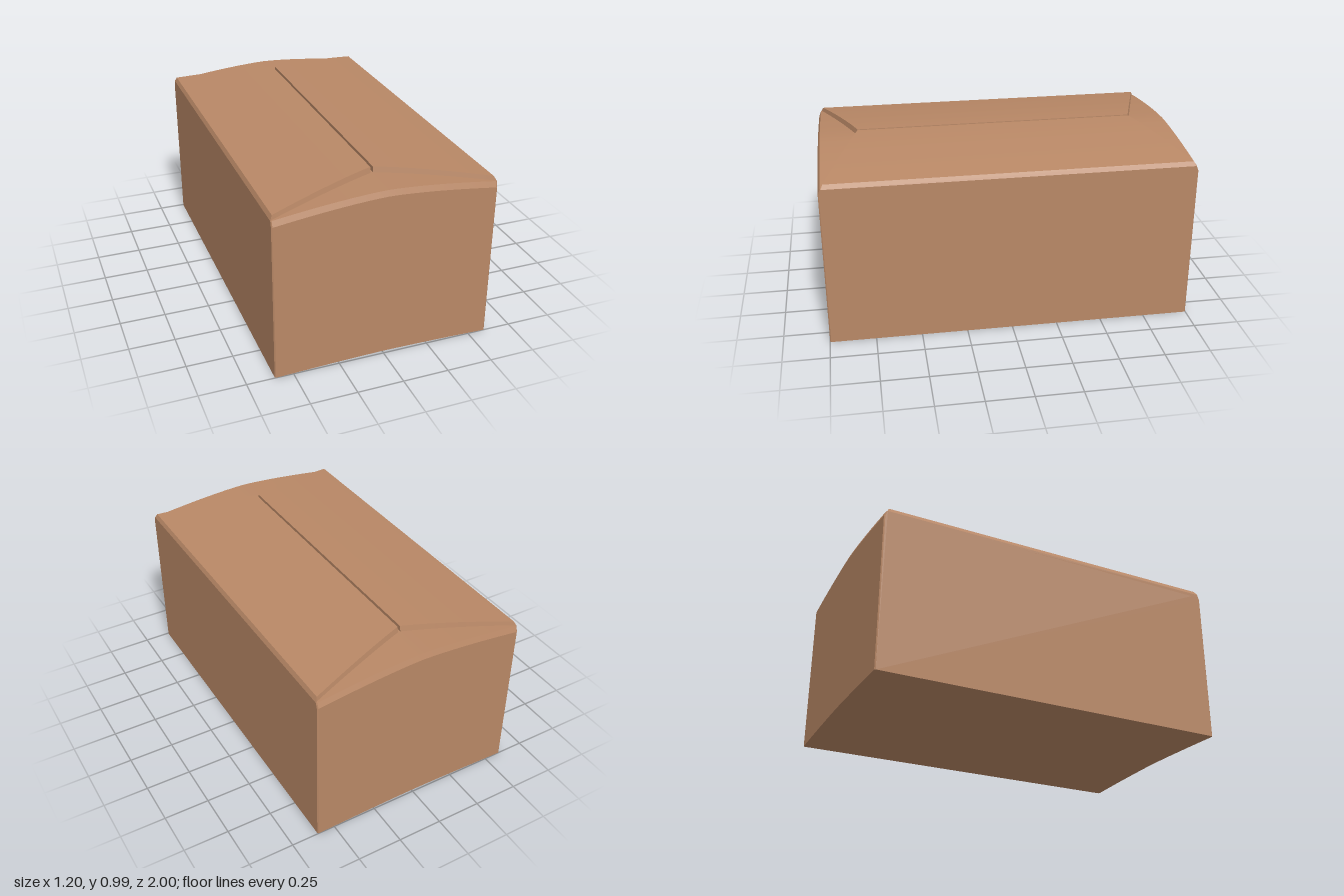
import * as THREE from 'three';
import { toCreasedNormals } from 'three/addons/utils/BufferGeometryUtils.js';

// Sweep convex rings of [z, y] points along x and close both ends
function loft(xs, ringAt) {
  const pos = [], idx = [];
  const n = ringAt(xs[0]).length;
  for (const x of xs) for (const [z, y] of ringAt(x)) pos.push(x, y, z);
  for (let i = 0; i < xs.length - 1; i++) {
    for (let j = 0; j < n; j++) {
      const a = i * n + j, b = i * n + (j + 1) % n;
      idx.push(a, a + n, b, b, a + n, b + n);
    }
  }
  const last = (xs.length - 1) * n;
  for (let j = 1; j < n - 1; j++) {
    idx.push(0, j, j + 1, last, last + j + 1, last + j);
  }
  const g = new THREE.BufferGeometry();
  g.setAttribute('position', new THREE.Float32BufferAttribute(pos, 3));
  g.setIndex(idx);
  return toCreasedNormals(g, 0.3);
}

// Gentle bulge: 1 on the centre line, 0 at the side walls
const bulge = x => 1 - Math.pow(Math.min(1, Math.abs(x) / 0.6), 1.5);
const range = (a, b, n) => Array.from({ length: n + 1 }, (_, i) => a + (b - a) * i / n);

export function createModel() {
  const box = new THREE.Group();
  box.name = 'cardboardBox';
  const cardboard = new THREE.MeshStandardMaterial({ color: 0xb98866 });
  cardboard.name = 'cardboard';

  const add = (name, geometry) => {
    const mesh = new THREE.Mesh(geometry, cardboard);
    mesh.name = name;
    box.add(mesh);
  };

  // Walls, arched base and the folded end flaps with creased edges
  const bodyRing = x => {
    const h = bulge(x), base = 0.015 * h, top = 0.9 + 0.057 * h;
    const z = Math.abs(x) > 0.597 ? 0.994 : 1;
    return [[-z, base], [z, base], [z, top - 0.03],
      [z - 0.012, top], [0.012 - z, top], [-z, top - 0.03]];
  };
  add('boxBody', loft([-0.6, ...range(-0.594, 0.594, 20), 0.6], bodyRing));

  // Two long side flaps with mitred ends, folded down at the outer crease
  const flapRing = x => {
    const ax = Math.abs(x);
    if (ax > 0.595) return [[-0.99, 0.88], [0.99, 0.88], [0.985, 0.9], [-0.985, 0.9]];
    const top = 0.922 + 0.065 * bulge(x);
    const z = 0.785 + 0.195 * (ax - 0.007) / 0.581;
    return [[-z, top - 0.032], [z, top - 0.032], [z - 0.007, top], [0.007 - z, top]];
  };
  add('leftTopFlap', loft([...range(0.007, 0.588, 10), 0.6], flapRing));
  add('rightTopFlap', loft([-0.6, ...range(-0.588, -0.007, 10)], flapRing));

  return box;
}
